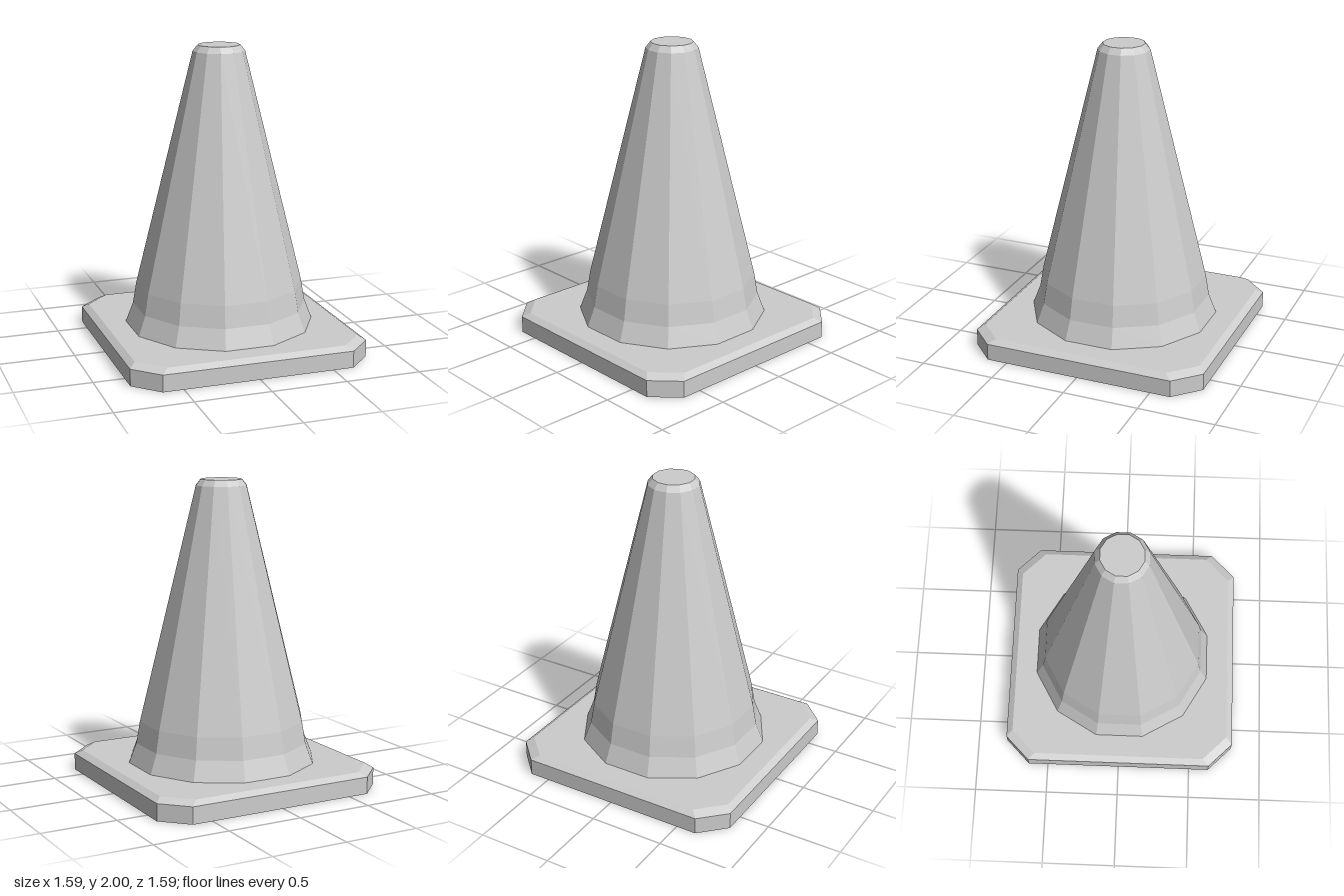
import * as THREE from 'three';

const SIDES = 12;

// Separate the faces so every facet is shaded flat
function faceted(geometry) {
  const flat = geometry.toNonIndexed();
  flat.computeVertexNormals();
  return flat;
}

// Square outline with cut corners: half = half width, cut = where the cut starts
function cutSquare(half, cut, y) {
  return [
    [half, -cut], [half, cut], [cut, half], [-cut, half],
    [-half, cut], [-half, -cut], [-cut, -half], [cut, -half],
  ].map(([x, z]) => [x, y, z]);
}

// Closed solid through a stack of outlines, listed from bottom to top
function stackOutlines(outlines) {
  const n = outlines[0].length;
  const last = (outlines.length - 1) * n;
  const index = [];
  for (let r = 0; r < outlines.length - 1; r++) {
    for (let i = 0; i < n; i++) {
      const a = r * n + i;
      const b = r * n + ((i + 1) % n);
      index.push(a, a + n, b + n, a, b + n, b);
    }
  }
  for (let i = 1; i < n - 1; i++) {
    index.push(0, i, i + 1);
    index.push(last, last + i + 1, last + i);
  }
  const geometry = new THREE.BufferGeometry();
  geometry.setAttribute('position', new THREE.Float32BufferAttribute(outlines.flat(2), 3));
  geometry.setIndex(index);
  return faceted(geometry);
}

export function createModel() {
  const group = new THREE.Group();
  group.name = 'trafficCone';
  const grey = new THREE.MeshStandardMaterial({ color: 0xcccccc });
  grey.name = 'light grey';

  // Base plate with cut corners and a bevelled upper edge
  const base = new THREE.Mesh(stackOutlines([
    cutSquare(0.797, 0.635, 0),
    cutSquare(0.797, 0.635, 0.112),
    cutSquare(0.755, 0.592, 0.14),
  ]), grey);
  base.name = 'basePlate';
  group.add(base);

  // Cone body: flared foot, long taper, bevelled rim and flat top
  const profile = [
    [0.628, 0.14], [0.578, 0.27], [0.553, 0.415],
    [0.17, 1.96], [0.138, 2], [0, 2],
  ].map(([r, y]) => new THREE.Vector2(r, y));
  const body = new THREE.Mesh(
    faceted(new THREE.LatheGeometry(profile, SIDES, Math.PI / SIDES)), grey);
  body.name = 'coneBody';
  group.add(body);

  return group;
}
